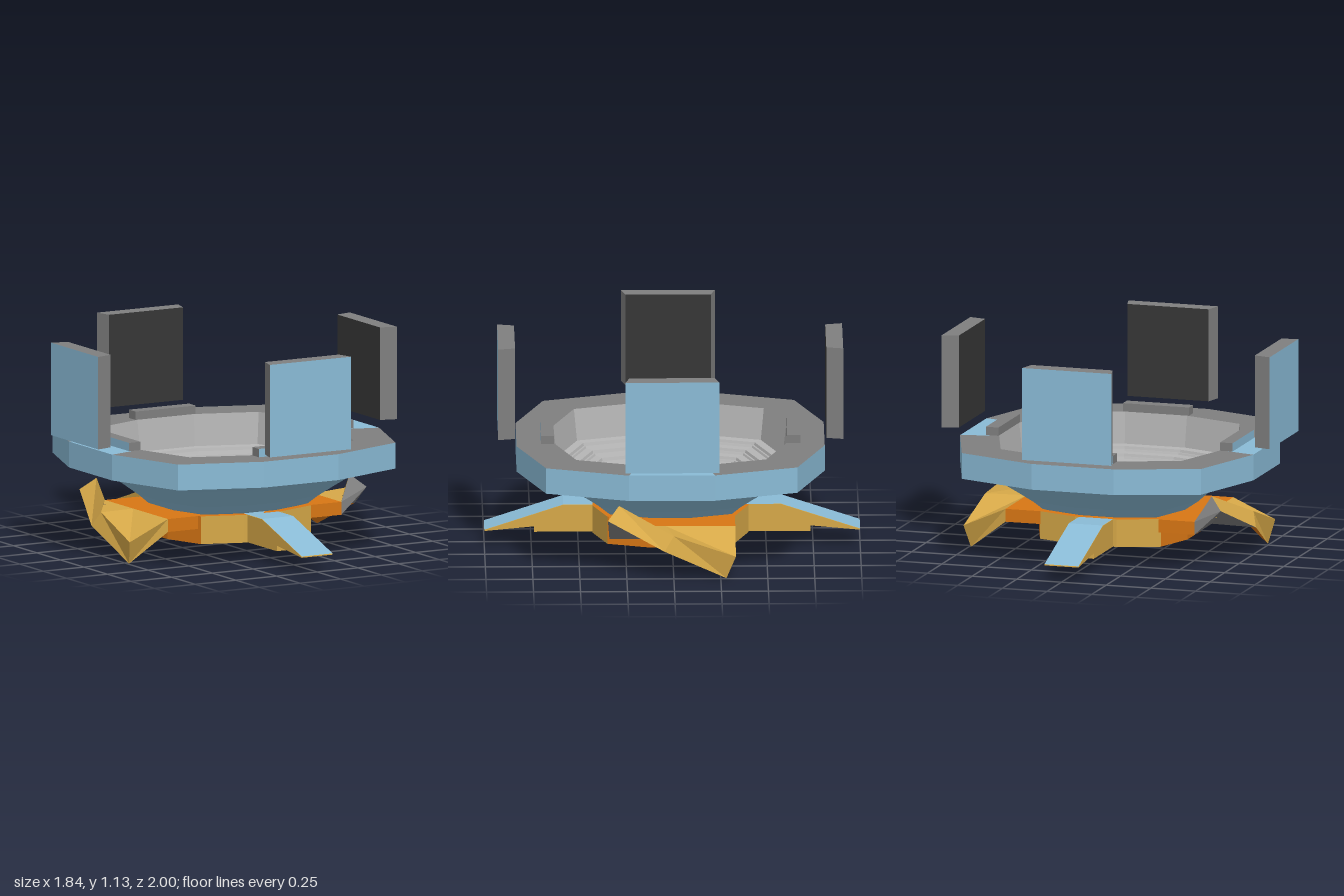
import * as THREE from 'three';

const mat = (name, color) => {
  const m = new THREE.MeshStandardMaterial({ color });
  m.name = name;
  return m;
};

export function createModel() {
  const blue = mat('facade blue', 0x8abbd6), gray = mat('concrete gray', 0x7f7f7f);
  const dark = mat('screen black', 0x363636), seats = mat('seat gray', 0xb4b4b4);
  const gold = mat('gold', 0xd6a848), orange = mat('orange', 0xd87614);
  const olive = mat('base yellow', 0xc9be32), green = mat('grass green', 0x8fab5c);
  const red = mat('track red', 0x9c3c22), brown = mat('floor brown', 0x8f6846);

  const model = new THREE.Group();
  const stadium = new THREE.Group();
  stadium.name = 'stadium';
  stadium.position.z = 0.01;
  model.add(stadium);

  const add = (parent, name, geometry, material) => {
    const mesh = new THREE.Mesh(geometry, material);
    mesh.name = name;
    parent.add(mesh);
    return mesh;
  };
  // Flat-shaded surface from a list of four-cornered faces
  const faces = (parent, name, material, quads) => {
    const pos = [];
    for (const [a, b, c, d] of quads) pos.push(...a, ...b, ...c, ...a, ...c, ...d);
    const g = new THREE.BufferGeometry();
    g.setAttribute('position', new THREE.Float32BufferAttribute(pos, 3));
    g.computeVertexNormals();
    return add(parent, name, g, material);
  };

  // Twelve-sided plan shared by bowl and base
  const plan = [];
  for (let q = 0; q < 4; q++) {
    for (const [x, z] of [[1, -0.28], [1, 0.28], [0.815, 0.815]]) {
      const c = [1, 0, -1, 0][q], s = [0, 1, 0, -1][q];
      plan.push([x * c - z * s, x * s + z * c]);
    }
  }
  const ring = (r, y) => plan.map(([x, z]) => [x * r, y, z * r]);
  // Bands between successive profile points [radius, height]
  const loft = (name, material, profile, keep = () => true) => {
    const quads = [];
    for (let k = 0; k + 1 < profile.length; k++) {
      const a = ring(...profile[k]), b = ring(...profile[k + 1]);
      for (let i = 0; i < 12; i++) {
        const j = (i + 1) % 12;
        if (keep(i)) quads.push([a[i], b[i], b[j], a[j]]);
      }
    }
    return faces(stadium, name, material, quads);
  };

  // Bowl: outer shell, rim and terraces
  loft('bowlShell', blue, [[0.34, 0.22], [0.40, 0.24], [0.45, 0.285], [0.53, 0.345],
    [0.60, 0.395], [0.69, 0.45], [0.82, 0.45], [0.82, 0.59]]);
  const isSide = i => i % 6 === 0;
  loft('rimTop', gray, [[0.82, 0.59], [0.62, 0.59]], i => !isSide(i));
  loft('rimSideTop', blue, [[0.82, 0.59], [0.62, 0.59]], isSide);
  const steps = [[0.62, 0.59], [0.60, 0.42]];
  for (let k = 0; k < 5; k++) {
    const r = 0.60 - k * 0.06, y = 0.42 - k * 0.028;
    steps.push([r - 0.04, y - 0.004], [r - 0.045, y - 0.018], [r - 0.055, y - 0.018], [r - 0.06, y - 0.028]);
  }
  loft('terraces', seats, steps);
  loft('arenaFloor', brown, [[0.30, 0.28], [0, 0.28]]);

  // Track and pitch as thin rounded plates
  const plate = (name, material, w, d, r, y) => {
    const s = new THREE.Shape();
    s.moveTo(-w + r, -d);
    s.lineTo(w - r, -d).quadraticCurveTo(w, -d, w, -d + r);
    s.lineTo(w, d - r).quadraticCurveTo(w, d, w - r, d);
    s.lineTo(-w + r, d).quadraticCurveTo(-w, d, -w, d - r);
    s.lineTo(-w, -d + r).quadraticCurveTo(-w, -d, -w + r, -d);
    const g = new THREE.ExtrudeGeometry(s, { depth: 0.005, bevelEnabled: false, curveSegments: 4 });
    g.rotateX(-Math.PI / 2).translate(0, y, 0);
    add(stadium, name, g, material);
  };
  plate('track', red, 0.21, 0.265, 0.09, 0.28);
  plate('pitch', green, 0.138, 0.207, 0.04, 0.285);

  // Four floating screens with rim blocks
  for (let k = 0; k < 4; k++) {
    const side = new THREE.Group();
    side.name = 'screenSide';
    side.rotation.y = k * Math.PI / 2;
    stadium.add(side);
    const g = new THREE.BoxGeometry(0.5, 0.5, 0.09);
    const p = g.attributes.position;
    for (let i = 0; i < p.count; i++) if (p.getZ(i) < 0) p.setX(i, p.getX(i) * 0.91);
    g.computeVertexNormals();
    add(side, 'screen', g, [gray, gray, gray, gray, blue, dark]).position.set(0, 0.88, 0.873);
    add(side, 'rimBlock', new THREE.BoxGeometry(0.37, 0.045, 0.07), [gray, gray, gray, gray, blue, gray])
      .position.set(0, 0.6125, 0.655);
  }

  // Base drum
  const isEnd = i => i % 6 > 1 && i % 6 < 5;
  const wall = [[0.415, 0.08], [0.415, 0.23]];
  loft('baseWall', gold, wall, isEnd);
  loft('baseSideWall', orange, wall, i => !isEnd(i));
  loft('baseTop', orange, [[0.415, 0.23], [0, 0.23]]);
  loft('baseBottom', olive, [[0, 0.08], [0.415, 0.08]]);

  // Entrance ramps, front and back; twisted wings, left and right
  const rampShape = new THREE.Shape([[0.38, 0.08], [0.735, 0.08], [0.735, 0.11], [1, 0.085],
    [1, 0.09], [0.58, 0.228], [0.38, 0.228]].map(([x, y]) => new THREE.Vector2(x, y)));
  const inner = z => ({ top: [0.53, 0.23, z], bottom: [0.53, 0.16, z] });
  const section = (z, outTop, outBottom) => [inner(z).top, outTop, outBottom, inner(z).bottom];
  const wing = [
    section(0.34, [0.61, 0.365, 0.29], [0.68, 0.30, 0.35]),
    section(0.04, [0.75, 0.235, 0.0], [0.78, 0.158, 0.05]),
    section(-0.33, [0.765, 0.125, -0.33], [0.74, 0.0, -0.28]),
  ];
  const strip = (s, k) => {
    const a = wing[s], b = wing[s + 1], n = (k + 1) % 4;
    return [a[k], a[n], b[n], b[k]];
  };
  for (const turn of [0, Math.PI]) {
    const half = new THREE.Group();
    half.name = 'baseHalf';
    half.rotation.y = turn;
    model.add(half);

    const g = new THREE.ExtrudeGeometry(rampShape, { depth: 0.19, bevelEnabled: false });
    g.translate(0, 0, -0.095).rotateY(-Math.PI / 2);
    add(half, 'ramp', g, gold);
    const w = 0.095;
    const top = [[0.38, 0.23], [0.58, 0.23], [1, 0.092]];
    faces(half, 'rampSurface', blue, [0, 1].map(i => {
      const [z0, y0] = top[i], [z1, y1] = top[i + 1];
      return [[-w, y0, z0], [-w, y1, z1], [w, y1, z1], [w, y0, z0]];
    }));

    add(half, 'wingRoot', new THREE.BoxGeometry(0.2, 0.07, 0.67), orange).position.set(0.43, 0.195, 0.005);
    const [hi, , lo] = wing;
    faces(half, 'wingTop', gold, [strip(0, 0), strip(1, 0), strip(0, 1), strip(1, 1),
      [lo[0], lo[1], lo[2], lo[3]]]);
    faces(half, 'wingHighSide', gray, [strip(0, 2), [hi[0], hi[3], hi[2], hi[1]]]);
    faces(half, 'wingUnderside', orange, [strip(1, 2)]);
  }
  return model;
}
